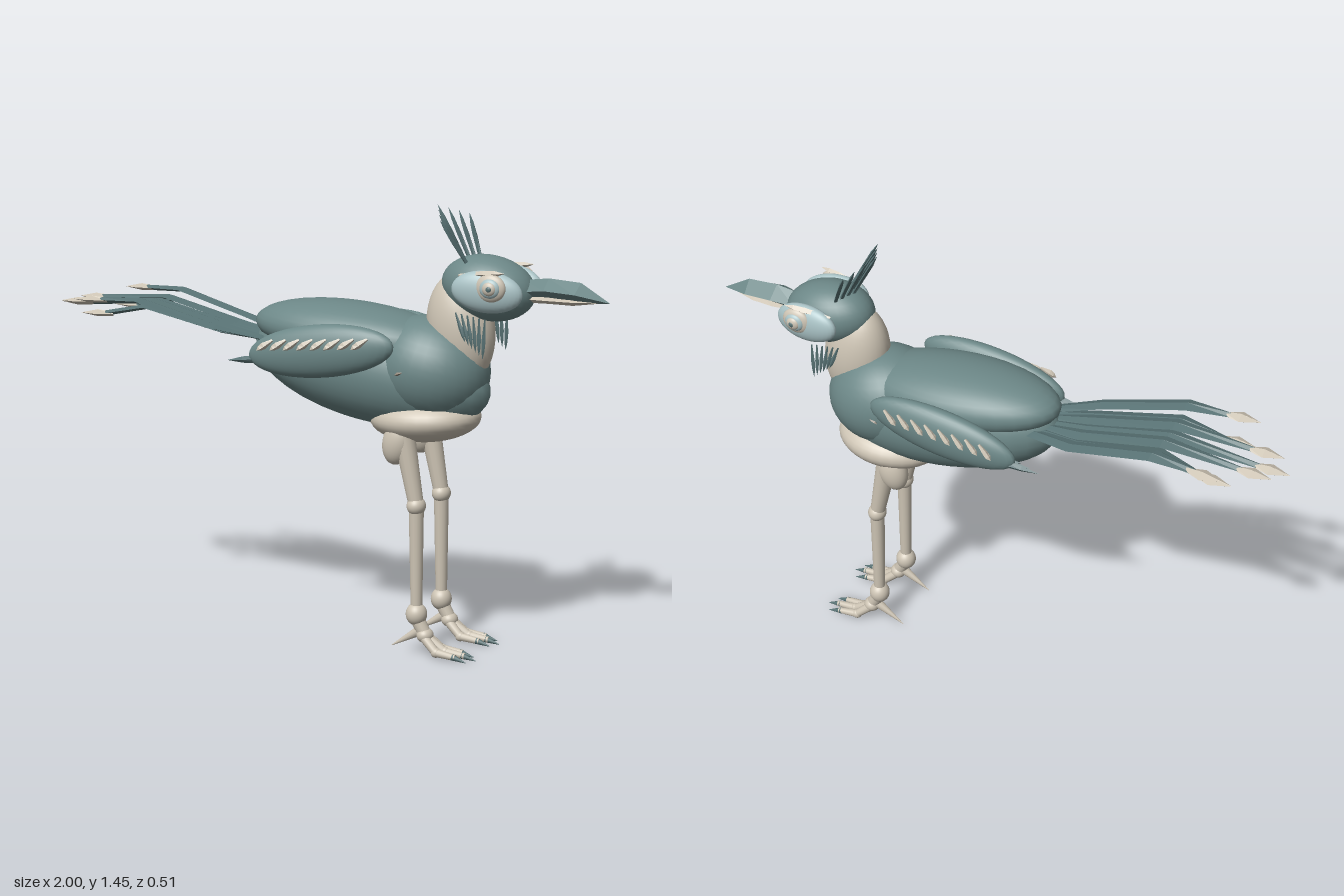
import * as THREE from 'three';

const mat = (name, color) => {
  const m = new THREE.MeshStandardMaterial({ color });
  m.name = name;
  return m;
};
const V = (p) => new THREE.Vector3(...p);

export function createModel() {
  const teal = mat('teal plumage', 0x6c8787);
  const dark = mat('dark teal feathers', 0x587274);
  const cream = mat('cream', 0xcdc4b4);
  const pale = mat('pale blue', 0xa9c2c5);
  const brown = mat('brown marks', 0x8f8477);
  const bird = new THREE.Group();
  bird.name = 'bird';

  const add = (name, geo, m) => {
    const mesh = new THREE.Mesh(geo, m);
    mesh.name = name;
    bird.add(mesh);
    return mesh;
  };

  // Smooth ellipsoid: centre, radii, tilt about z, turn about y
  const ellipsoid = (name, m, c, r, tilt = 0, yaw = 0) => {
    const mesh = add(name, new THREE.SphereGeometry(1, 32, 20), m);
    mesh.position.set(...c);
    mesh.scale.set(...r);
    mesh.rotation.set(0, yaw, tilt);
    return mesh;
  };

  // Tapered round limb between two points
  const limb = (name, m, a, b, ra, rb) => {
    const d = V(b).sub(V(a));
    const mesh = add(name, new THREE.CylinderGeometry(rb, ra, d.length(), 14), m);
    mesh.position.copy(V(a)).addScaledVector(d, 0.5);
    mesh.quaternion.setFromUnitVectors(new THREE.Vector3(0, 1, 0), d.normalize());
    return mesh;
  };

  // Faceted blade with diamond cross-sections along a path
  const blade = (name, m, path, widths, thick, across = [0, 0, 1]) => {
    const pts = path.map(V);
    const rings = pts.map((p, i) => {
      const t = pts[Math.min(i + 1, pts.length - 1)].clone().sub(pts[Math.max(i - 1, 0)]).normalize();
      const s = V(across);
      s.addScaledVector(t, -s.dot(t)).normalize();
      const u = t.clone().cross(s);
      const h = Math.min(thick, widths[i]);
      return [[s, widths[i]], [u, h], [s, -widths[i]], [u, -h]].map(([d, k]) => p.clone().addScaledVector(d, k));
    });
    const out = [];
    const tri = (...vs) => vs.forEach((v) => out.push(v.x, v.y, v.z));
    for (let i = 0; i < rings.length - 1; i++) {
      for (let k = 0; k < 4; k++) {
        const n = (k + 1) % 4;
        tri(rings[i][k], rings[i][n], rings[i + 1][n]);
        tri(rings[i][k], rings[i + 1][n], rings[i + 1][k]);
      }
    }
    const geo = new THREE.BufferGeometry();
    geo.setAttribute('position', new THREE.Float32BufferAttribute(out, 3));
    geo.computeVertexNormals();
    return add(name, geo, m);
  };
  const lerp = (a, b, t) => V(a).lerp(V(b), t).toArray();
  const spear = (name, m, a, b, w, thick, across) =>
    blade(name, m, [a, lerp(a, b, 0.55), lerp(a, b, 0.8), b], [w * 0.35, w, w * 0.75, 0.0005], thick, across);

  // Torso
  ellipsoid('body', teal, [0.19, 0.92, 0], [0.42, 0.175, 0.17], -0.16);
  ellipsoid('back', teal, [0.13, 1.03, 0], [0.355, 0.103, 0.165], -0.07);
  ellipsoid('chest', teal, [0.4, 0.935, 0], [0.2, 0.17, 0.17], -0.2);
  ellipsoid('belly', cream, [0.385, 0.772, 0], [0.185, 0.078, 0.157], 0.06);
  ellipsoid('neck', cream, [0.505, 1.07, 0], [0.112, 0.18, 0.092], 0.12);
  ellipsoid('head', teal, [0.598, 1.207, 0], [0.156, 0.104, 0.108], -0.14);

  // Beak
  blade('upperBeak', teal, [[0.72, 1.205, 0], [0.8, 1.215, 0], [0.9, 1.208, 0], [1, 1.183, 0]],
    [0.035, 0.05, 0.045, 0.001], 0.034);
  blade('lowerBeak', cream, [[0.73, 1.182, 0], [0.8, 1.183, 0], [0.88, 1.182, 0], [0.97, 1.182, 0]],
    [0.025, 0.036, 0.03, 0.001], 0.014);

  // Crest fan
  for (let i = -3; i <= 3; i++) {
    const k = Math.abs(i) / 3;
    spear('crestFeather', dark, [0.52 + 0.03 * k, 1.28, i * 0.018],
      [0.42 + 0.06 * k, 1.46 - 0.035 * k, i * 0.039], 0.017, 0.006);
  }

  // Tail feathers with cream tips: tip start x, tip y and tip z by rank from the middle
  const ranks = [[-0.89, 1.06, 0], [-0.85, 1.073, 0.058], [-0.74, 1.045, 0.108], [-0.73, 1.1, 0.165]];
  for (let i = -3; i <= 3; i++) {
    const [x, y, az] = ranks[Math.abs(i)];
    const z = Math.sign(i) * az;
    blade('tailFeather', dark,
      [[-0.12, 0.99, z * 0.35], [-0.32, 1.02 + (y - 1.06) * 0.3, z * 0.75],
        [-0.6, 1.085 + (y - 1.06) * 0.5, z * 0.88], [x - 0.02, y, z * 0.97]],
      [0.022, 0.03, 0.032, 0.012], 0.009);
    blade('tailTip', cream, [[x + 0.015, y, z * 0.96], [x - 0.045, y, z], [x - 0.11, y - 0.003, z * 1.01]],
      [0.008, 0.029, 0.0005], 0.012);
  }

  for (const s of [1, -1]) {
    // Face
    ellipsoid('facePatch', pale, [0.633, 1.208, s * 0.1], [0.115, 0.066, 0.035], -0.08, s * 0.12);
    ellipsoid('eyeRim', cream, [0.655, 1.224, s * 0.125], [0.05, 0.044, 0.02]);
    ellipsoid('iris', pale, [0.657, 1.224, s * 0.136], [0.034, 0.031, 0.016]);
    ellipsoid('eyeball', cream, [0.658, 1.224, s * 0.144], [0.023, 0.022, 0.013]);
    ellipsoid('pupil', dark, [0.66, 1.224, s * 0.151], [0.011, 0.011, 0.008]);
    spear('brow', cream, [0.54, 1.255, s * 0.105], [0.7, 1.272, s * 0.125], 0.013, 0.012);

    // Throat feathers
    for (let i = 0; i < 6; i++) {
      const x = 0.525 + i * 0.02;
      spear('throatFeather', dark, [x, 1.135 - i * 0.003, s * 0.092],
        [x + 0.035 - i * 0.008, 1.045 - i * 0.01, s * 0.096], 0.007, 0.004, [1, 0, 0]);
    }
    // Chest marks
    for (let i = 0; i < 4; i++) {
      const x = 0.35 + i * 0.038, y = 0.933 + i * 0.015, z = s * (0.168 - i * 0.012);
      spear('chestMark', brown, [x + 0.045, y + 0.017, z - s * 0.01], [x, y, z], 0.007, 0.008, [0, 1, 0]);
    }

    // Wing
    ellipsoid('wing', teal, [0.1, 0.995, s * 0.192], [0.26, 0.086, 0.047], 0.13);
    for (let i = 0; i < 4; i++) {
      spear('wingFeather', dark, [0.06 - i * 0.02, 0.975 - i * 0.008, s * (0.225 - i * 0.008)],
        [-0.24 + i * 0.035, 0.938 + i * 0.006, s * (0.185 - i * 0.006)], 0.014, 0.008, [0, 1, 0]);
    }
    for (let i = 0; i < 8; i++) {
      const x = -0.1 + i * 0.048, y = 0.99 + i * 0.004;
      spear('wingMark', cream, [x + 0.05, y + 0.035, s * 0.232], [x, y, s * 0.25], 0.012, 0.009, [0.5, 1, 0]);
    }

    // Leg
    const z = s * 0.1;
    ellipsoid('thigh', cream, [0.335, 0.705, z], [0.052, 0.078, 0.043], -0.25);
    limb('upperLeg', cream, [0.355, 0.73, z], [0.4, 0.5, z], 0.036, 0.025);
    ellipsoid('knee', cream, [0.4, 0.5, z], [0.031, 0.031, 0.034]);
    limb('shin', cream, [0.4, 0.5, z], [0.404, 0.14, z], 0.025, 0.019);
    ellipsoid('ankle', cream, [0.404, 0.14, z], [0.035, 0.038, 0.035]);

    // Foot
    limb('footStem', cream, [0.404, 0.13, z], [0.435, 0.075, z], 0.024, 0.022);
    ellipsoid('footPad', cream, [0.435, 0.073, z], [0.028, 0.025, 0.03]);
    limb('hindToe', cream, [0.42, 0.088, z], [0.315, 0.022, z], 0.018, 0.001);
    for (const t of [-1, 0, 1]) {
      const x = 0.02 * (1 - Math.abs(t));
      const a = [0.435, 0.07, z + t * 0.012];
      const b = [0.485 + x, 0.027, z + t * 0.026];
      const c = [0.555 + x, 0.021, z + t * 0.031];
      limb('toe', cream, a, b, 0.016, 0.014);
      ellipsoid('toeJoint', cream, b, [0.017, 0.016, 0.015]);
      limb('toe', cream, b, c, 0.014, 0.01);
      limb('claw', dark, [c[0] - 0.01, 0.022, c[2]], [c[0] + 0.038, 0.01, z + t * 0.034], 0.011, 0.001);
    }
  }

  bird.updateMatrixWorld(true);
  const box = new THREE.Box3().setFromObject(bird, true);
  bird.position.y = -box.min.y;
  return bird;
}
